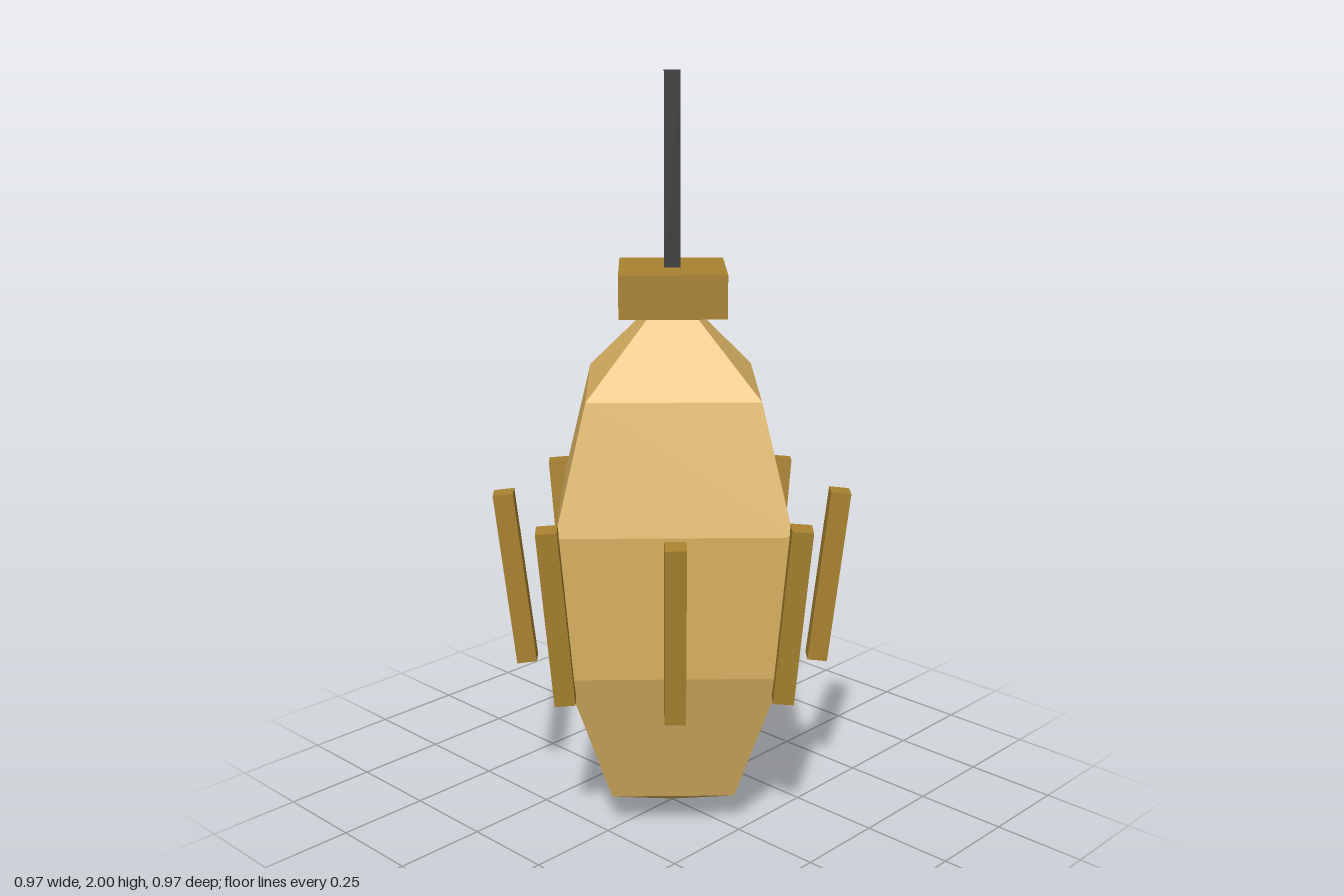
import * as THREE from 'three';

const flat = (name, color) => {
  const m = new THREE.MeshStandardMaterial({ color });
  m.name = name;
  return m;
};

// Faceted geometry with split corners
const faceted = (geometry) => {
  const g = geometry.toNonIndexed();
  g.computeVertexNormals();
  return g;
};

// Four-sided bar with its corners on the x and z axes
const diamondBar = (radius, height) => faceted(new THREE.CylinderGeometry(radius, radius, height, 4));

export function createModel() {
  const model = new THREE.Group();
  model.name = 'hangingLantern';
  const gold = flat('pale gold', 0xdcb463);
  const brass = flat('dark brass', 0xa98230);
  const black = flat('charcoal', 0x39393b);

  const add = (name, geometry, material, y = 0, parent = model) => {
    const mesh = new THREE.Mesh(geometry, material);
    mesh.name = name;
    mesh.position.y = y;
    parent.add(mesh);
    return mesh;
  };

  // Four-sided bulging body, pointed at the bottom
  const profile = [[0, 0.005], [0.232, 0.1], [0.39, 0.49], [0.42, 0.88], [0.31, 1.208], [0.07, 1.405], [0, 1.405]]
    .map(([r, y]) => new THREE.Vector2(r, y));
  add('body', faceted(new THREE.LatheGeometry(profile, 4)), gold);

  // Cap and hanging rod
  add('cap', diamondBar(0.193, 0.112), brass, 1.456);
  add('rod', diamondBar(0.029, 0.5), black, 1.75);

  // Ring of slats leaning outward, all keeping the same diamond orientation
  const slats = new THREE.Group();
  slats.name = 'slats';
  model.add(slats);
  const slatGeometry = diamondBar(0.038, 0.48);
  for (let i = 0; i < 8; i++) {
    const angle = (i * Math.PI) / 4;
    const arm = new THREE.Group();
    arm.name = 'slatMount';
    arm.rotation.y = angle;
    slats.add(arm);
    const slat = add('slat', slatGeometry, brass, 0.672, arm);
    slat.position.z = 0.421;
    slat.rotation.set(0.11, -angle, 0);
  }
  return model;
}
